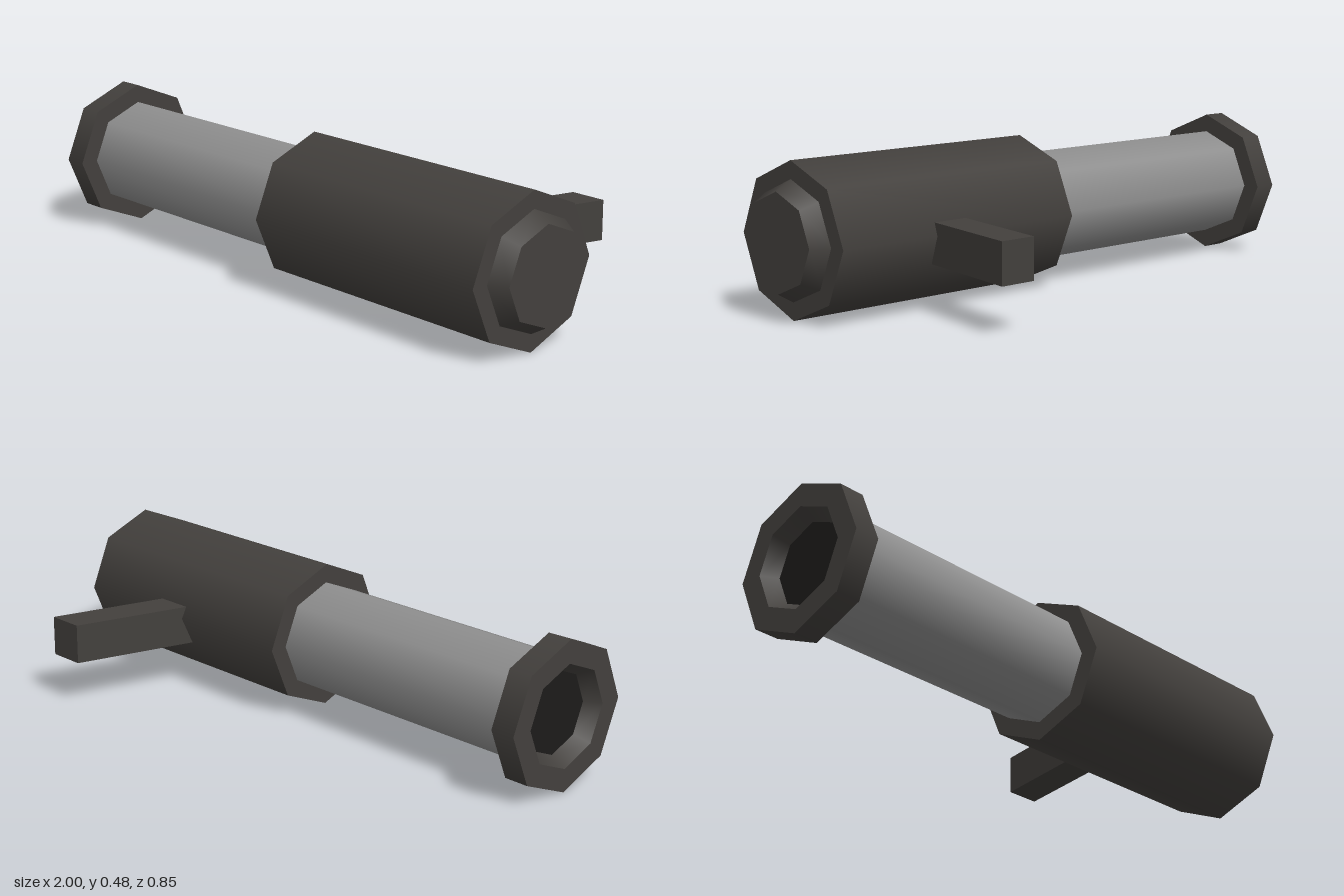
import * as THREE from 'three';

const SIDES = 8;
const AXIS_Y = 0.24, AXIS_Z = 0.187;

export function createModel() {
  const model = new THREE.Group();
  const dark = new THREE.MeshStandardMaterial({ color: 0x43403d });
  const darkInside = new THREE.MeshStandardMaterial({ color: 0x43403d, side: THREE.DoubleSide });
  const black = new THREE.MeshStandardMaterial({ color: 0x1c1b1a });
  const metal = new THREE.MeshStandardMaterial({ color: 0x8f8f8f });

  function add(parent, name, geometry, material) {
    const mesh = new THREE.Mesh(geometry, material);
    mesh.name = name;
    parent.add(mesh);
    return mesh;
  }

  // Octagonal section along x, from x0 (radius r0) to x1 (radius r1)
  function section(parent, name, x0, x1, r0, r1, material, open = false) {
    const g = new THREE.CylinderGeometry(r1, r0, x1 - x0, SIDES, 1, open);
    g.rotateZ(-Math.PI / 2);
    g.translate((x0 + x1) / 2, 0, 0);
    return add(parent, name, g, material);
  }

  // Flat octagonal ring at x, facing +x or -x
  function ring(parent, name, x, inner, outer, facing) {
    const g = new THREE.RingGeometry(inner, outer, SIDES);
    g.rotateY(facing * Math.PI / 2);
    g.translate(x, 0, 0);
    return add(parent, name, g, dark);
  }

  const tube = new THREE.Group();
  tube.name = 'tube';
  tube.position.set(0, AXIS_Y, AXIS_Z);
  model.add(tube);

  section(tube, 'barrel', -0.93, 0.03, 0.18, 0.18, metal);
  section(tube, 'sleeve', 0.015, 0.945, 0.24, 0.24, dark);
  section(tube, 'endCap', 0.94, 1, 0.187, 0.153, dark);

  // Open flange with a shallow tapered recess
  const flange = new THREE.Group();
  flange.name = 'flange';
  tube.add(flange);
  section(flange, 'flangeRim', -1, -0.917, 0.24, 0.24, dark, true);
  ring(flange, 'flangeFrontFace', -1, 0.165, 0.24, -1);
  ring(flange, 'flangeBackFace', -0.917, 0.17, 0.24, 1);
  section(flange, 'recessWall', -1, -0.95, 0.165, 0.135, darkInside, true);
  section(flange, 'recessFloor', -0.95, -0.93, 0.135, 0.135, black);

  // Slanted side handle
  const outline = new THREE.Shape([
    new THREE.Vector2(0.45, 0), new THREE.Vector2(0.575, 0),
    new THREE.Vector2(0.675, 0.427), new THREE.Vector2(0.55, 0.427),
  ]);
  const handle = new THREE.ExtrudeGeometry(outline, { depth: 0.13, bevelEnabled: false });
  handle.rotateX(-Math.PI / 2);
  handle.translate(0, 0.15, 0);
  add(model, 'handle', handle, dark);

  return model;
}
